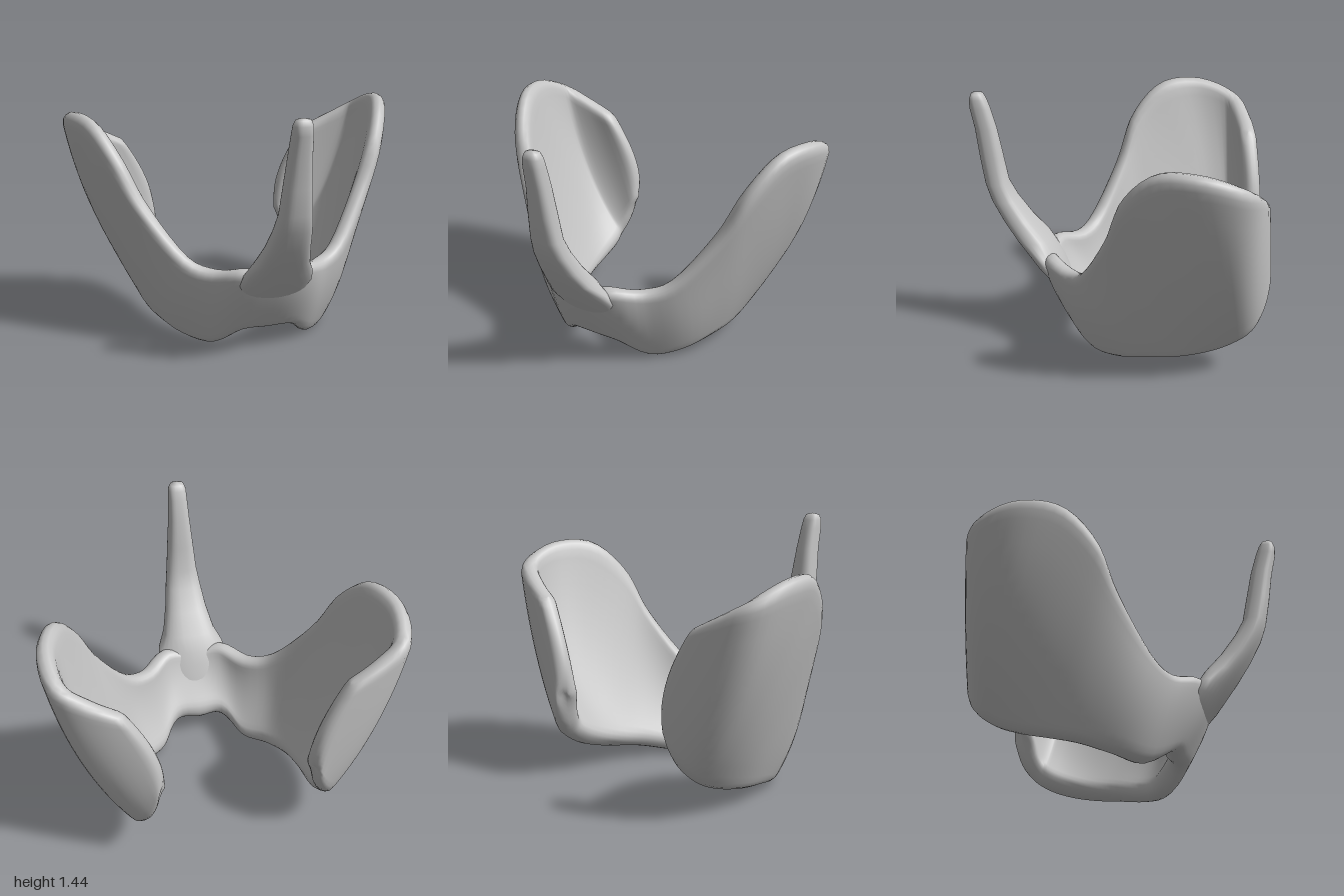
import * as THREE from 'three';
import { mergeVertices } from 'three/addons/utils/BufferGeometryUtils.js';

const grey = new THREE.MeshStandardMaterial({ color: 0xc4c4c4 });
grey.name = 'grey';

// Stations from the middle to the curled-in rear edge: bottom, middle and top of the sheet.
const stations = [
  [[0, 0.11, 0.20], [0, 0.31, 0.34], [0, 0.47, 0.42]],
  [[0.14, 0.11, 0.20], [0.17, 0.31, 0.32], [0.17, 0.51, 0.39]],
  [[0.26, 0, 0.09], [0.31, 0.25, 0.2], [0.31, 0.48, 0.26]],
  [[0.38, 0.02, -0.04], [0.46, 0.28, 0.08], [0.46, 0.55, 0.17]],
  [[0.46, 0.06, -0.2], [0.59, 0.42, -0.09], [0.66, 0.83, 0.04]],
  [[0.49, 0.09, -0.35], [0.67, 0.52, -0.25], [0.78, 1.08, -0.04]],
  [[0.49, 0.13, -0.5], [0.74, 0.61, -0.42], [0.88, 1.26, -0.21]],
  [[0.48, 0.18, -0.62], [0.77, 0.65, -0.57], [0.95, 1.28, -0.44]],
  [[0.48, 0.24, -0.70], [0.75, 0.67, -0.68], [0.92, 1.21, -0.65]],
  [[0.45, 0.33, -0.75], [0.62, 0.68, -0.75], [0.79, 1.13, -0.72]],
  [[0.415, 0.50, -0.79], [0.44, 0.74, -0.79], [0.60, 1.03, -0.76]],
];

// Indexed grid of points joined into a surface
function gridGeometry(rows, flip = false) {
  const pos = [], index = [], w = rows[0].length;
  rows.forEach(r => r.forEach(p => pos.push(p.x, p.y, p.z)));
  for (let i = 0; i < rows.length - 1; i++) {
    for (let j = 0; j < w - 1; j++) {
      const a = i * w + j, b = a + w;
      if (flip) index.push(a, b + 1, b, a, a + 1, b + 1);
      else index.push(a, b, b + 1, a, b + 1, a + 1);
    }
  }
  return { pos, index };
}

function finish(parts) {
  const pos = [], index = [];
  parts.forEach(p => {
    const base = pos.length / 3;
    p.pos.forEach(n => pos.push(n));
    p.index.forEach(n => index.push(n + base));
  });
  let g = new THREE.BufferGeometry();
  g.setAttribute('position', new THREE.Float32BufferAttribute(pos, 3));
  g.setIndex(index);
  g = mergeVertices(g, 1e-4);
  g.computeVertexNormals();
  return g;
}

// Wrapped sheet with rounded rims, thicker at the bottom: both wings and the bridge
function wingGeometry() {
  const all = [...stations.slice(1).reverse().map(s => s.map(([x, y, z]) => [-x, y, z])), ...stations];
  const curves = [0, 1, 2].map(k => new THREE.CatmullRomCurve3(
    all.map(s => new THREE.Vector3(...s[k])), false, 'catmullrom', 0.5));
  const point = (u, v) => {
    const [b, m, t] = curves.map(c => c.getPoint(Math.min(1, Math.max(0, u))));
    return b.multiplyScalar(2 * (v - 0.5) * (v - 1))
      .addScaledVector(m, 4 * v * (1 - v)).addScaledVector(t, 2 * v * (v - 0.5));
  };
  const rim = [0, 0.006, 0.02, 0.045, 0.08, 0.12];
  const vs = [...rim, ...Array.from({ length: 13 }, (_, i) => 0.18 + i * 0.64 / 12), ...rim.map(r => 1 - r).reverse()];
  const ends = [0, 0.001, 0.004, 0.009, 0.016, 0.025];
  const us = [...ends, ...Array.from({ length: 77 }, (_, i) => 0.035 + i * 0.93 / 76), ...ends.map(e => 1 - e).reverse()];
  const outer = [], inner = [];
  for (const u of us) {
    const length = point(u, 0).distanceTo(point(u, 1));
    const o = [], n = [];
    for (const v of vs) {
      const p = point(u, v), e = 0.004;
      const half = 0.05 + 0.02 * (1 - v) ** 2;
      const du = point(u + e, v).sub(point(u - e, v));
      const dv = point(u, v + e).sub(point(u, v - e));
      const normal = du.cross(dv).normalize();
      const edge = Math.min(v, 1 - v) * length;
      const end = p.distanceTo(point(u < 0.5 ? 0 : 1, v));
      const d = Math.min(1, edge / half), f = Math.min(1, end / half);
      const h = half * Math.sqrt((1 - (1 - d) ** 2) * (1 - (1 - f) ** 2));
      o.push(p.clone().addScaledVector(normal, h));
      n.push(p.clone().addScaledVector(normal, -h));
    }
    outer.push(o);
    inner.push(n);
  }
  return finish([gridGeometry(outer), gridGeometry(inner, true)]);
}

// Tapering stalk growing out of the bridge: rings of [y, z, half width, half depth]
function stalkGeometry() {
  const rings = [
    [0.22, 0.28, 0.12, 0.04], [0.34, 0.355, 0.18, 0.065], [0.42, 0.405, 0.21, 0.08], [0.49, 0.45, 0.2, 0.09],
    [0.57, 0.505, 0.155, 0.095], [0.68, 0.59, 0.125, 0.085], [0.80, 0.665, 0.105, 0.075],
    [0.90, 0.708, 0.09, 0.066], [1.05, 0.735, 0.077, 0.065], [1.22, 0.763, 0.062, 0.06],
    [1.34, 0.793, 0.055, 0.056], [1.39, 0.803, 0.052, 0.047], [1.42, 0.806, 0.04, 0.033], [1.43, 0.806, 0, 0],
  ];
  const sides = 28;
  const soft = (t, k) => Math.sign(t) * Math.abs(t) ** k;
  const rows = rings.map(([y, z, w, d]) => {
    const k = y < 0.5 ? 1 : 0.75;
    return Array.from({ length: sides + 1 }, (_, i) => {
      const a = (i % sides) / sides * Math.PI * 2;
      return new THREE.Vector3(w * soft(Math.cos(a), k), y, z + d * soft(Math.sin(a), k));
    });
  });
  // rings run upward and turn from +x to +z, which faces outward
  return finish([gridGeometry(rows)]);
}

export function createModel() {
  const group = new THREE.Group();
  group.name = 'gland';
  const wings = new THREE.Mesh(wingGeometry(), grey);
  wings.name = 'wingsAndBridge';
  const stalk = new THREE.Mesh(stalkGeometry(), grey);
  stalk.name = 'frontStalk';
  group.add(wings, stalk);
  return group;
}
